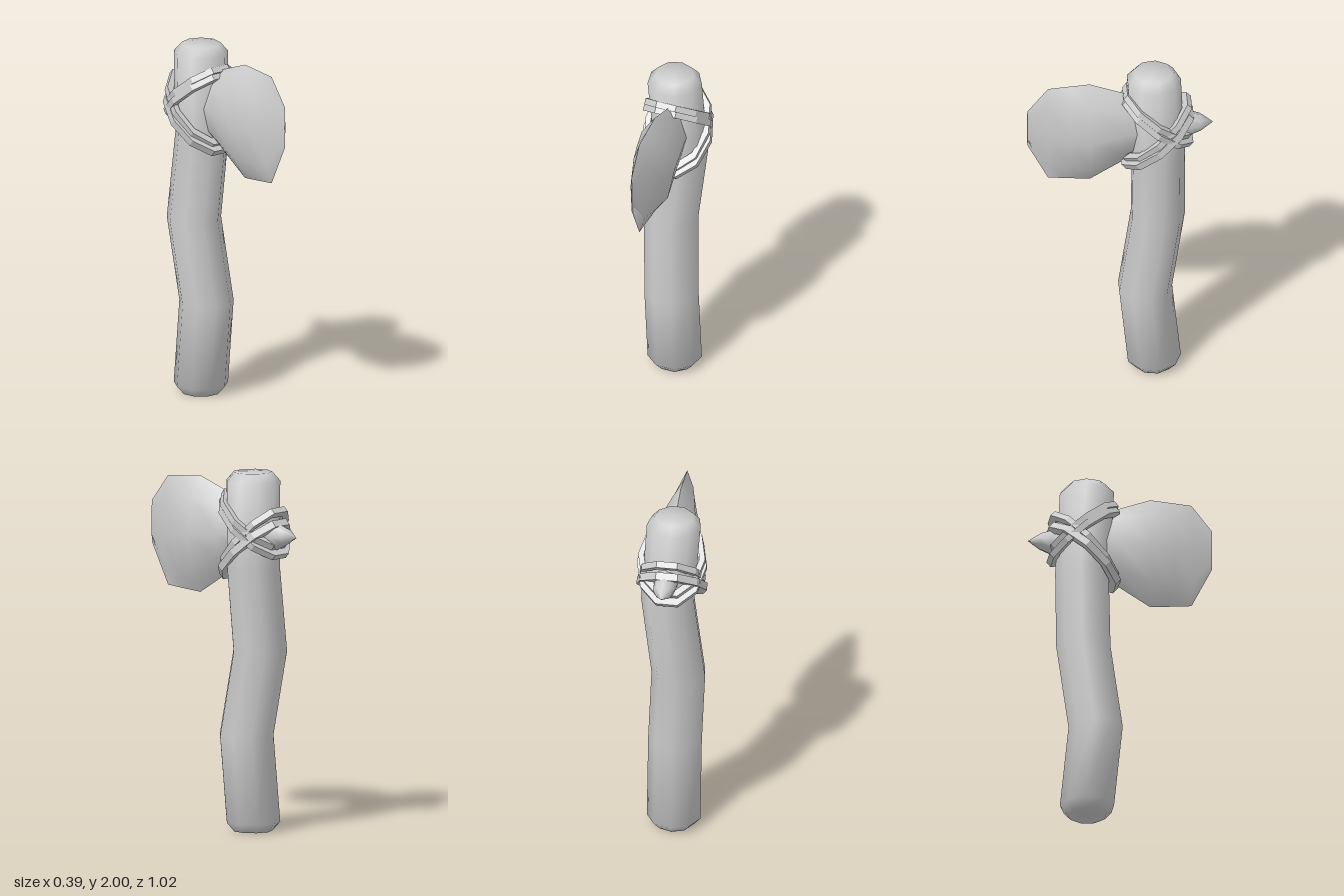
import * as THREE from 'three';
import { toCreasedNormals } from 'three/addons/utils/BufferGeometryUtils.js';

const V = (x, y, z) => new THREE.Vector3(x, y, z);

// Skin a list of rings (equal point counts); optionally close both ends.
function loft(rings, capped = true) {
  const n = rings[0].length, pts = rings.flat(), index = [];
  for (let i = 0; i < rings.length - 1; i++) {
    for (let j = 0; j < n; j++) {
      const k = (j + 1) % n;
      const a = i * n + j, b = i * n + k, c = b + n, d = a + n;
      index.push(a, d, b, b, d, c);
    }
  }
  if (capped) {
    const last = rings.length - 1;
    for (const i of [0, last]) {
      const centre = V(0, 0, 0);
      rings[i].forEach((p) => centre.addScaledVector(p, 1 / n));
      const c = pts.push(centre) - 1;
      for (let j = 0; j < n; j++) {
        const a = i * n + j, b = i * n + (j + 1) % n;
        if (i === 0) index.push(c, a, b);
        else index.push(c, b, a);
      }
    }
  }
  const g = new THREE.BufferGeometry().setFromPoints(pts);
  g.setIndex(index);
  return g;
}

// Crooked nine-sided shaft with bevelled ends: [y, centre x, centre z, radius]
function handleGeometry() {
  const sections = [
    [0, -0.01, -0.183, 0.108],
    [0.05, -0.01, -0.183, 0.152],
    [0.53, -0.01, -0.135, 0.152],
    [1.0, -0.04, -0.207, 0.152],
    [1.48, 0.02, -0.207, 0.15],
    [1.95, -0.01, -0.183, 0.152],
    [2.0, -0.01, -0.183, 0.108],
  ];
  const rings = sections.map(([y, cx, cz, r]) =>
    Array.from({ length: 9 }, (_, j) => {
      const a = -Math.PI / 2 + (j / 9) * Math.PI * 2;
      return V(cx + r * Math.cos(a), y, cz + r * Math.sin(a));
    }));
  return toCreasedNormals(loft(rings), 1.05);
}

// Stone head, from cutting edge to rear spike: [z, bottom, top, half width]
function headGeometry() {
  const sections = [
    [0.515, 1.55, 1.78, 0.002],
    [0.4, 1.32, 1.93, 0.052],
    [0.29, 1.31, 1.94, 0.088],
    [0.17, 1.3, 1.95, 0.118],
    [-0.02, 1.42, 1.88, 0.095],
    [-0.16, 1.52, 1.79, 0.075],
    [-0.38, 1.585, 1.735, 0.062],
    [-0.44, 1.615, 1.71, 0.053],
    [-0.51, 1.659, 1.661, 0.001],
  ];
  // Lens profile on the blade, rounder toward the spike
  const rings = sections.map(([z, lo, hi, w]) => {
    const mid = (lo + hi) / 2, h = (hi - lo) / 2, s = z > -0.1 ? 0.65 : 0.71;
    return [[1, 0], [s, s], [0, 1], [-s, s], [-1, 0], [-s, -s], [0, -1], [s, -s]]
      .map(([x, y]) => V(0.012 + x * w, mid + y * h, z));
  });
  return toCreasedNormals(loft(rings), 1.0);
}

// Slanted ten-sided strap around the shaft, from front height to back height
function strapGeometry(yFront, yBack, outer, width) {
  const cz = -0.203, sides = 10, inner = 0.155;
  const slope = (yFront - yBack) / (2 * outer * Math.cos(Math.PI / sides));
  const normal = V(0, 1, -slope).normalize().multiplyScalar(width / 2);
  const rings = [];
  for (let i = 0; i <= sides; i++) {
    const a = (i / sides) * Math.PI * 2;
    const at = (r, side) => V(
      r * Math.cos(a),
      (yFront + yBack) / 2 + slope * r * Math.sin(a),
      cz + r * Math.sin(a),
    ).addScaledVector(normal, side);
    rings.push([at(outer, 1), at(outer, -1), at(inner, -1), at(inner, 1)]);
  }
  return loft(rings, false).toNonIndexed();
}

export function createModel() {
  const model = new THREE.Group();
  model.name = 'stoneAxe';
  const smooth = new THREE.MeshStandardMaterial({ color: 0xcccccc });
  const faceted = new THREE.MeshStandardMaterial({ color: 0xcccccc, flatShading: true });

  const add = (name, geometry, material, parent = model) => {
    if (!geometry.attributes.normal) geometry.computeVertexNormals();
    const mesh = new THREE.Mesh(geometry, material);
    mesh.name = name;
    parent.add(mesh);
  };

  add('handle', handleGeometry(), smooth);
  add('axeHead', headGeometry(), smooth);

  // Two pairs of straps crossing over the head: [front y, back y, radius, width]
  const binding = new THREE.Group();
  binding.name = 'binding';
  model.add(binding);
  [
    [1.885, 1.6, 0.187, 0.036],
    [1.85, 1.545, 0.195, 0.036],
    [1.45, 1.805, 0.187, 0.036],
    [1.41, 1.735, 0.197, 0.042],
  ].forEach(([front, back, r, w], i) =>
    add(`strap${i + 1}`, strapGeometry(front, back, r, w), faceted, binding));

  return model;
}
